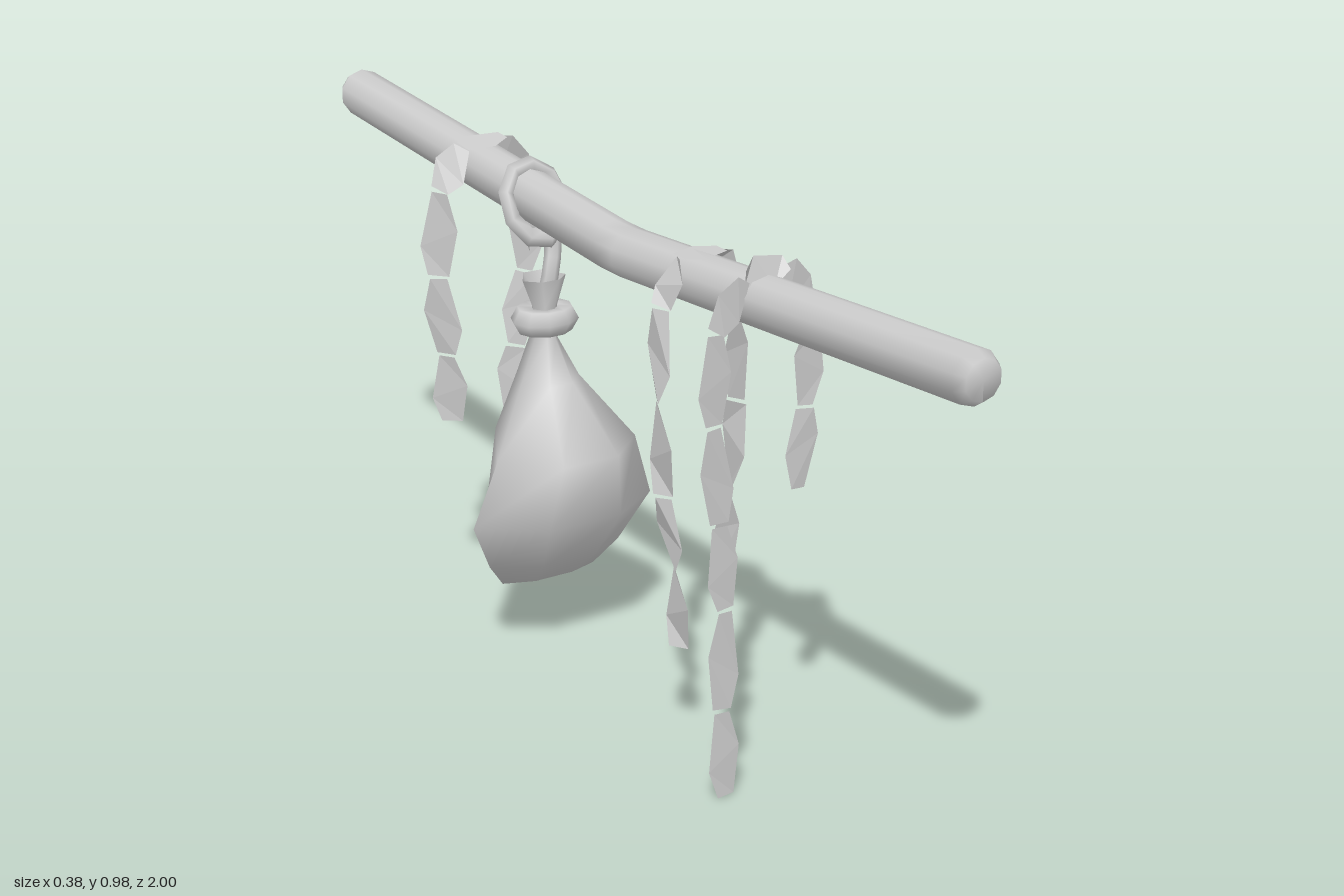
import * as THREE from 'three';

const material = new THREE.MeshStandardMaterial({ color: 0xcccccc });
const clothMaterial = new THREE.MeshStandardMaterial({ color: 0xcccccc, side: THREE.DoubleSide, flatShading: true });
const V = (x, y, z) => new THREE.Vector3(x, y, z);
const rodY = (z) => 0.873 + 0.068 * Math.abs(z);

function add(parent, name, geometry, mat = material) {
  const mesh = new THREE.Mesh(geometry, mat);
  mesh.name = name;
  parent.add(mesh);
  return mesh;
}

// Pole: bevelled cylinder lying along z, sagging to the middle
function poleGeometry() {
  const r = 0.047;
  const profile = [[0, -1], [r * 0.75, -1], [r, -0.98], [r, -0.03], [r, 0.03], [r, 0.98], [r * 0.75, 1], [0, 1]];
  const geo = new THREE.LatheGeometry(profile.map(([x, y]) => new THREE.Vector2(x, y)), 10);
  geo.rotateX(Math.PI / 2);
  const p = geo.attributes.position;
  for (let i = 0; i < p.count; i++) p.setY(i, p.getY(i) + rodY(p.getZ(i)));
  geo.computeVertexNormals();
  return geo;
}

// Sack: six-cornered loops, each [y, half width, half depth, centre z], from the bottom up
function sackGeometry() {
  const corners = [[1, 0.4], [0.42, 1], [-0.4, 1], [-1, 0.25], [-0.4, -1], [0.5, -0.95]];
  const loops = [
    [0.142, 0.005, 0.005, -0.28], [0.148, 0.1, 0.03, -0.28], [0.2, 0.14, 0.075, -0.27],
    [0.3, 0.19, 0.115, -0.25], [0.43, 0.145, 0.125, -0.238], [0.55, 0.06, 0.06, -0.275],
    [0.63, 0.022, 0.03, -0.28], [0.69, 0.025, 0.025, -0.28], [0.745, 0.045, 0.035, -0.285],
  ];
  const n = corners.length, pos = [], index = [];
  loops.forEach(([y, w, d, cz]) => corners.forEach(([x, z]) => pos.push(x * w, y, cz + z * d)));
  for (let j = 0; j < loops.length - 1; j++) {
    for (let i = 0; i < n; i++) {
      const a = j * n + i, b = j * n + (i + 1) % n;
      index.push(a, a + n, b, b, a + n, b + n);
    }
  }
  const geo = new THREE.BufferGeometry();
  geo.setAttribute('position', new THREE.Float32BufferAttribute(pos, 3));
  geo.setIndex(index);
  geo.computeVertexNormals();
  return geo;
}

// Ragged strip: one angular scrap between each pair of path points.
// angle turns the strip about the vertical, twist swings each scrap to and fro.
function stripGeometry(path, { angle, twist, width }) {
  const pos = [];
  for (let i = 0; i < path.length - 1; i++) {
    const a = path[i].clone().lerp(path[i + 1], 0.02);
    const b = path[i].clone().lerp(path[i + 1], 0.98);
    const along = b.clone().sub(a).normalize();
    const side = (turn) => {
      const w = V(Math.cos(angle + turn), 0, Math.sin(angle + turn));
      return w.addScaledVector(along, -w.dot(along)).normalize();
    };
    const s = i % 2 ? 1 : -1;
    const rows = [[0, 0.55, twist * s], [0.45, 1, 0], [1, 0.45, -twist * s]].map(([t, w, turn]) => {
      const c = a.clone().lerp(b, t), d = side(turn).multiplyScalar(w * width);
      // slanted scraps: opposite corners sit at different heights
      const skew = t === 0.45 ? 0.12 * s * a.distanceTo(b) : 0;
      return [c.clone().sub(d).addScaledVector(along, skew), c.clone().add(d).addScaledVector(along, -skew)];
    });
    for (let r = 0; r < 2; r++) {
      const [p, q] = rows[r], [u, v] = rows[r + 1];
      for (const k of [p, u, q, q, u, v]) pos.push(k.x, k.y, k.z);
    }
  }
  const geo = new THREE.BufferGeometry();
  geo.setAttribute('position', new THREE.Float32BufferAttribute(pos, 3));
  geo.computeVertexNormals();
  return geo;
}

export function createModel() {
  const model = new THREE.Group();
  model.name = 'hangingPole';

  add(model, 'pole', poleGeometry());

  // Sack with its tie, cord and the loop around the pole
  const sack = new THREE.Group();
  sack.name = 'hangingSack';
  model.add(sack);
  add(sack, 'sackBody', sackGeometry(), new THREE.MeshStandardMaterial({ color: 0xcccccc, side: THREE.DoubleSide }));

  const tie = add(sack, 'neckTie', new THREE.TorusGeometry(0.04, 0.027, 6, 10));
  tie.rotation.x = Math.PI / 2;
  tie.position.set(0.004, 0.664, -0.28);
  tie.scale.y = 0.85;

  const cordPath = new THREE.CatmullRomCurve3([V(0, 0.68, -0.28), V(0.012, 0.75, -0.272), V(0.027, 0.81, -0.285), V(0.02, 0.88, -0.29)]);
  add(sack, 'cord', new THREE.TubeGeometry(cordPath, 6, 0.016, 6));

  const loop = add(sack, 'poleLoop', new THREE.TorusGeometry(0.058, 0.016, 5, 9));
  loop.position.set(0, rodY(0.31) - 0.012, -0.305);
  loop.rotation.x = -0.45;
  loop.scale.set(1, 1.2, 1);

  // Loose knot end below the pole
  const knot = add(sack, 'knotEnd', new THREE.ConeGeometry(0.035, 0.11, 5));
  knot.position.set(-0.005, 0.84, -0.325);
  knot.rotation.set(Math.PI - 0.35, 0, 0.1);

  // Cloth strips draped over the pole, listed from the right-hand end over the top to the left-hand end
  const strips = [
    {
      name: 'frontStrip', z: 0.433, angle: 0.06, twist: 0.12, width: 0.031,
      points: [[-0.064, 0], [-0.075, 0.17], [-0.07, 0.36], [-0.085, 0.52], [-0.1, 0.7], [-0.1, 0.865],
        [-0.045, 0.95], [0.04, 0.965], [0.095, 0.84], [0.085, 0.7], [0.075, 0.55]],
    },
    {
      name: 'middleStrip', z: 0.238, angle: Math.PI / 2, twist: 0.5, width: 0.036,
      points: [[-0.035, 0.2], [-0.045, 0.36], [-0.07, 0.5], [-0.085, 0.68], [-0.08, 0.85], [-0.045, 0.935],
        [0.045, 0.935], [0.075, 0.83], [0.08, 0.65], [0.07, 0.485], [0.06, 0.33]],
    },
    {
      name: 'backStrip', z: -0.5, angle: 0.92, twist: 0.15, width: 0.038,
      points: [[-0.075, 0.4], [-0.085, 0.54], [-0.1, 0.7], [-0.095, 0.87], [-0.045, 0.95],
        [0.045, 0.96], [0.095, 0.83], [0.09, 0.68], [0.07, 0.53], [0.06, 0.37], [0.055, 0.19]],
    },
  ];
  for (const { name, z, points, ...options } of strips) {
    const path = points.map(([x, y]) => V(x, y, z + 0.012 * Math.max(0, y - 0.5)));
    add(model, name, stripGeometry(path, options), clothMaterial);
  }

  return model;
}
